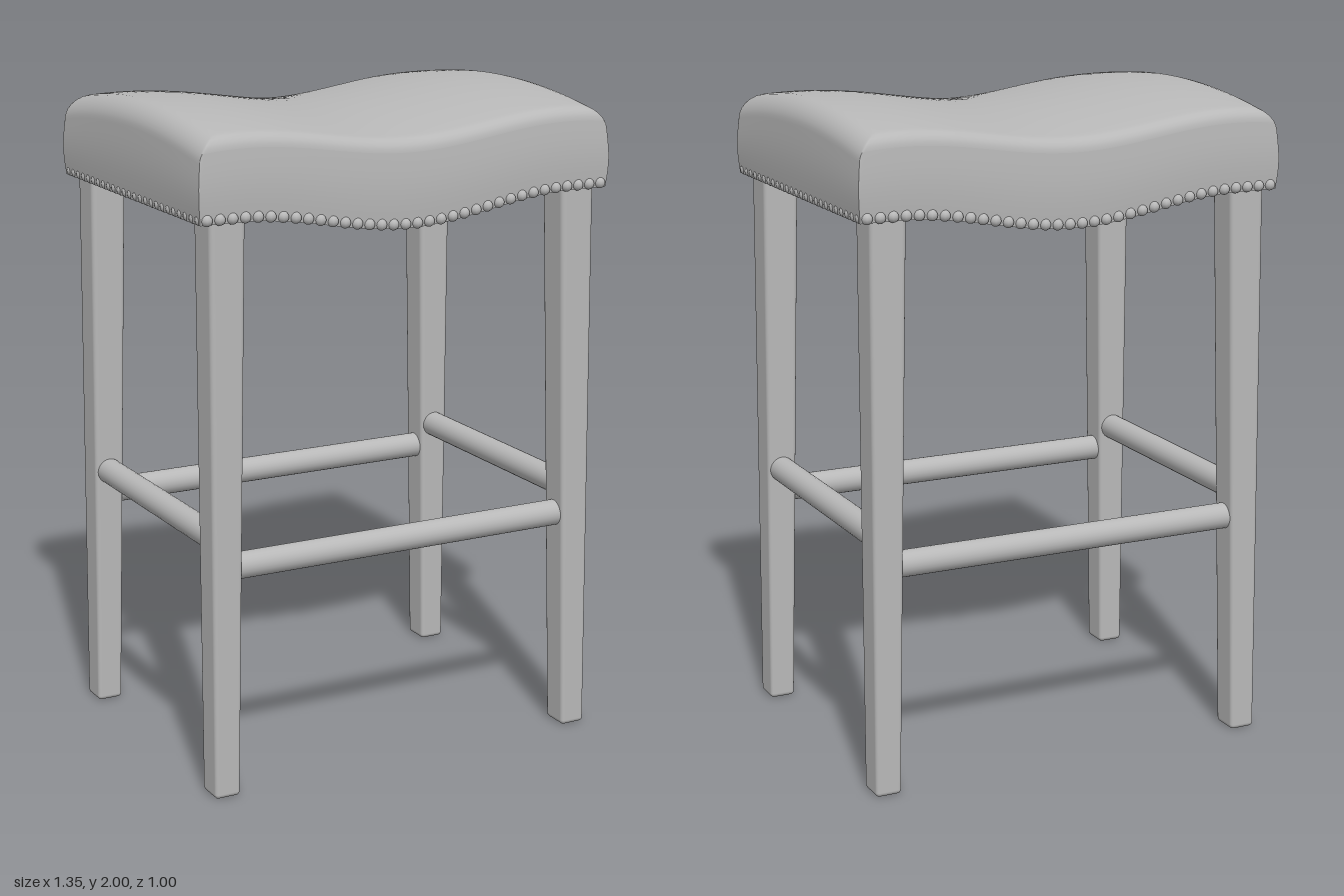
import * as THREE from 'three';
import { mergeGeometries } from 'three/addons/utils/BufferGeometryUtils.js';
import { RoundedBoxGeometry } from 'three/addons/geometries/RoundedBoxGeometry.js';

const HALF_X = 0.67, HALF_Z = 0.485;
const clamp01 = (t) => Math.min(Math.max(t, 0), 1);
const roundOver = (t) => 1 - Math.sqrt(1 - clamp01(t) ** 2);

// Lower edge of the seat: level over the legs, dipping in the middle
const bottomY = (x) => 1.715 - 0.0325 * (1 + Math.cos(Math.PI * clamp01(Math.abs(x) / 0.55)));

// Saddle top with a crown from front to back and rounded edges
function topY(x, z) {
  const ax = Math.abs(x), az = Math.abs(z);
  const saddle = 1.975 - 0.026 * Math.cos(Math.PI * ax / 0.53);
  const crown = 0.045 * (az / HALF_Z) ** 2;
  const edge = Math.max(
    0.065 * roundOver((ax - 0.6) / (HALF_X - 0.6)),
    0.035 * roundOver((az - 0.45) / (HALF_Z - 0.45)));
  return saddle - crown - edge;
}

function seatGeometry() {
  const g = new THREE.BoxGeometry(2, 2, 2, 56, 8, 40);
  const p = g.attributes.position;
  for (let i = 0; i < p.count; i++) {
    // crowd the grid towards the edges so the rounding stays smooth
    const x = Math.sin(p.getX(i) * Math.PI / 2) * HALF_X;
    const z = Math.sin(p.getZ(i) * Math.PI / 2) * HALF_Z;
    const t = (p.getY(i) + 1) / 2;
    const bulge = Math.sin(Math.PI * t) * 0.006;
    p.setXYZ(i, x * (1 + bulge / HALF_X),
      THREE.MathUtils.lerp(bottomY(x), topY(x, z), t),
      z * (1 + bulge / HALF_Z));
  }
  g.computeVertexNormals();
  return g;
}

// Square leg with softened edges, narrowing on its inner faces
function legGeometry(sx, sz) {
  const height = 1.73;
  const g = new RoundedBoxGeometry(1, height, 1, 3, 0.014);
  const soft = new RoundedBoxGeometry(0.1, height, 0.1, 3, 0.014);
  g.copy(soft);
  const p = g.attributes.position;
  const lerp = THREE.MathUtils.lerp;
  for (let i = 0; i < p.count; i++) {
    const t = p.getY(i) / height + 0.5;
    const u = p.getX(i) / 0.1, v = p.getZ(i) / 0.1;
    p.setXYZ(i,
      sx * lerp(0.605, 0.58, t) + u * lerp(0.08, 0.112, t),
      p.getY(i) + height / 2,
      sz * lerp(0.44, 0.419, t) + v * lerp(0.094, 0.114, t));
  }
  return g;
}

// Domed nail heads along all four lower edges
function nailGeometry() {
  const nails = [];
  const add = (x, y, z) =>
    nails.push(new THREE.SphereGeometry(0.017, 10, 8).translate(x, y, z));
  const nx = 34, nz = 25;
  for (const s of [-1, 1]) {
    for (let i = 0; i < nx; i++) {
      const x = -0.65 + 1.3 * i / (nx - 1);
      add(x, bottomY(x) + 0.013, s * (HALF_Z - 0.001));
    }
    for (let i = 0; i < nz; i++) {
      add(s * (HALF_X - 0.01), 1.728, -0.465 + 0.93 * i / (nz - 1));
    }
  }
  return mergeGeometries(nails);
}

export function createModel() {
  const group = new THREE.Group();
  const grey = new THREE.MeshStandardMaterial({ color: 0xb8b8b8 });
  grey.name = 'plain grey';

  const add = (name, geometry) => {
    const mesh = new THREE.Mesh(geometry, grey);
    mesh.name = name;
    group.add(mesh);
    return mesh;
  };

  add('seat', seatGeometry());
  add('nailHeads', nailGeometry());

  for (const sx of [-1, 1]) {
    for (const sz of [-1, 1]) {
      add((sz > 0 ? 'front' : 'back') + (sx > 0 ? 'Left' : 'Right') + 'Leg', legGeometry(sx, sz));
    }
  }

  // Round stretchers: the long pair sits lower than the short pair
  for (const s of [-1, 1]) {
    add(s > 0 ? 'frontStretcher' : 'backStretcher',
      new THREE.CylinderGeometry(0.04, 0.04, 1.13, 24).rotateZ(Math.PI / 2).translate(0, 0.695, s * 0.432));
    add(s > 0 ? 'leftStretcher' : 'rightStretcher',
      new THREE.CylinderGeometry(0.04, 0.04, 0.8, 24).rotateX(Math.PI / 2).translate(s * 0.594, 0.775, 0));
  }
  return group;
}
